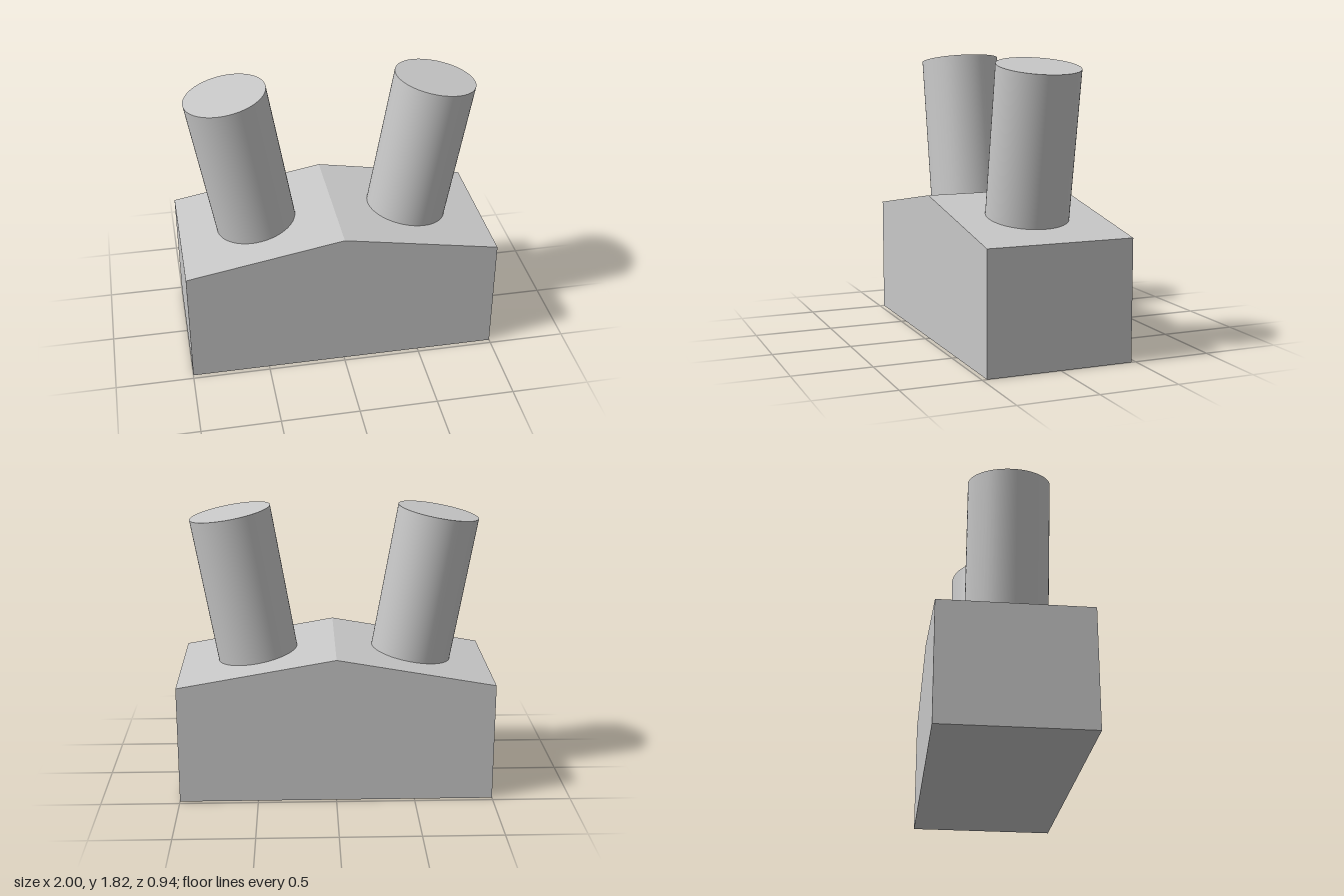
import * as THREE from 'three';

const TILT = THREE.MathUtils.degToRad(10);
const PEAK = 0.94, DEPTH = 0.94;
const POST_RADIUS = 0.26, POST_LENGTH = 0.942, POST_X = 0.5;

export function createModel() {
  const model = new THREE.Group();
  model.name = 'twinPostBlock';
  const grey = new THREE.MeshStandardMaterial({ color: 0xc8c8c8 });
  grey.name = 'light grey';

  // Block with a shallow ridged top
  const slope = Math.tan(TILT);
  const profile = new THREE.Shape([
    new THREE.Vector2(-1, 0),
    new THREE.Vector2(1, 0),
    new THREE.Vector2(1, PEAK - slope),
    new THREE.Vector2(0, PEAK),
    new THREE.Vector2(-1, PEAK - slope),
  ]);
  const blockGeometry = new THREE.ExtrudeGeometry(profile, { depth: DEPTH, bevelEnabled: false });
  blockGeometry.translate(0, 0, -DEPTH / 2);
  const block = new THREE.Mesh(blockGeometry, grey);
  block.name = 'ridgedBlock';
  model.add(block);

  // Posts standing square to each sloped face
  const postGeometry = new THREE.CylinderGeometry(POST_RADIUS, POST_RADIUS, POST_LENGTH, 64);
  postGeometry.translate(0, POST_LENGTH / 2, 0);
  for (const side of [1, -1]) {
    const post = new THREE.Mesh(postGeometry, grey);
    post.name = side > 0 ? 'leftPost' : 'rightPost';
    post.position.set(side * POST_X, PEAK - POST_X * slope, 0);
    post.rotation.z = -side * TILT;
    model.add(post);
  }
  return model;
}
